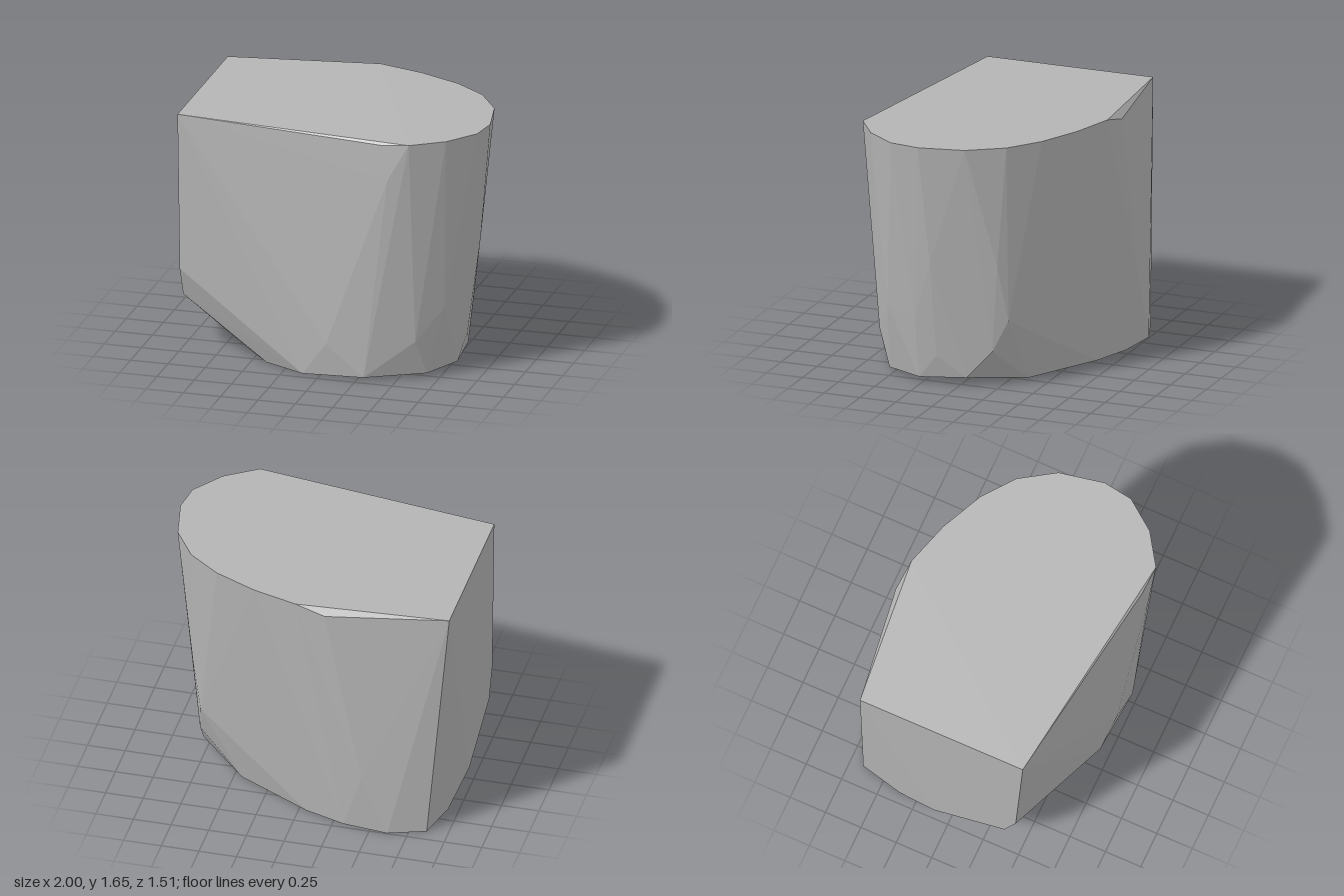
import * as THREE from 'three';
import { ConvexGeometry } from 'three/addons/geometries/ConvexGeometry.js';

export function createModel() {
  const group = new THREE.Group();
  const grey = new THREE.MeshStandardMaterial({ color: 0xb4b4b4 });
  grey.name = 'stone grey';

  // Top rim: a D shape, its flat side at -x
  const top = [
    [-1, 1.63, -0.62], [-0.2, 1.6, -0.73], [0, 1.65, -0.71], [0.3, 1.65, -0.62],
    [0.58, 1.65, -0.49], [0.79, 1.65, -0.33], [0.94, 1.65, -0.1], [1, 1.65, 0.2],
    [0.97, 1.65, 0.4], [0.82, 1.65, 0.6], [0.61, 1.65, 0.74], [0.42, 1.63, 0.73], [-1, 1.63, 0.53],
  ];
  // Slight bulges of the faceted wall
  const wall = [
    [0.47, 1.4, 0.75], [0.92, 0.85, 0.15], [0.8, 0.84, -0.27], [0.86, 0.45, 0.28],
    [0.78, 0.48, 0.5], [0.73, 0.46, -0.32], [-0.45, 0.4, -0.757], [0.62, 0.27, 0.62],
    [0.05, 0.23, 0.72], [0.83, 0.2, 0.14], [0.76, 0.25, -0.22],
    [-1, 0.56, 0.48], [-1, 0.36, 0.4], [-1, 0.16, -0.1],
  ];
  // Narrower bottom rim
  const bottom = [
    [-0.86, 0, -0.66], [-0.62, 0, -0.745], [-0.32, 0, -0.71], [-0.05, 0, -0.62],
    [0.45, 0, -0.35], [0.78, 0.06, -0.05], [0.8, 0.035, 0.27], [0.67, 0.03, 0.53],
    [0.3, 0.025, 0.715], [-0.12, 0, 0.68], [-0.4, 0, 0.54], [-0.57, 0, 0.34],
    [-0.92, 0, -0.17], [-0.93, 0, -0.37],
  ];

  const points = [...top, ...wall, ...bottom].map((p) => new THREE.Vector3(...p));
  const block = new THREE.Mesh(new ConvexGeometry(points), grey);
  block.name = 'facetedBlock';
  group.add(block);
  return group;
}
